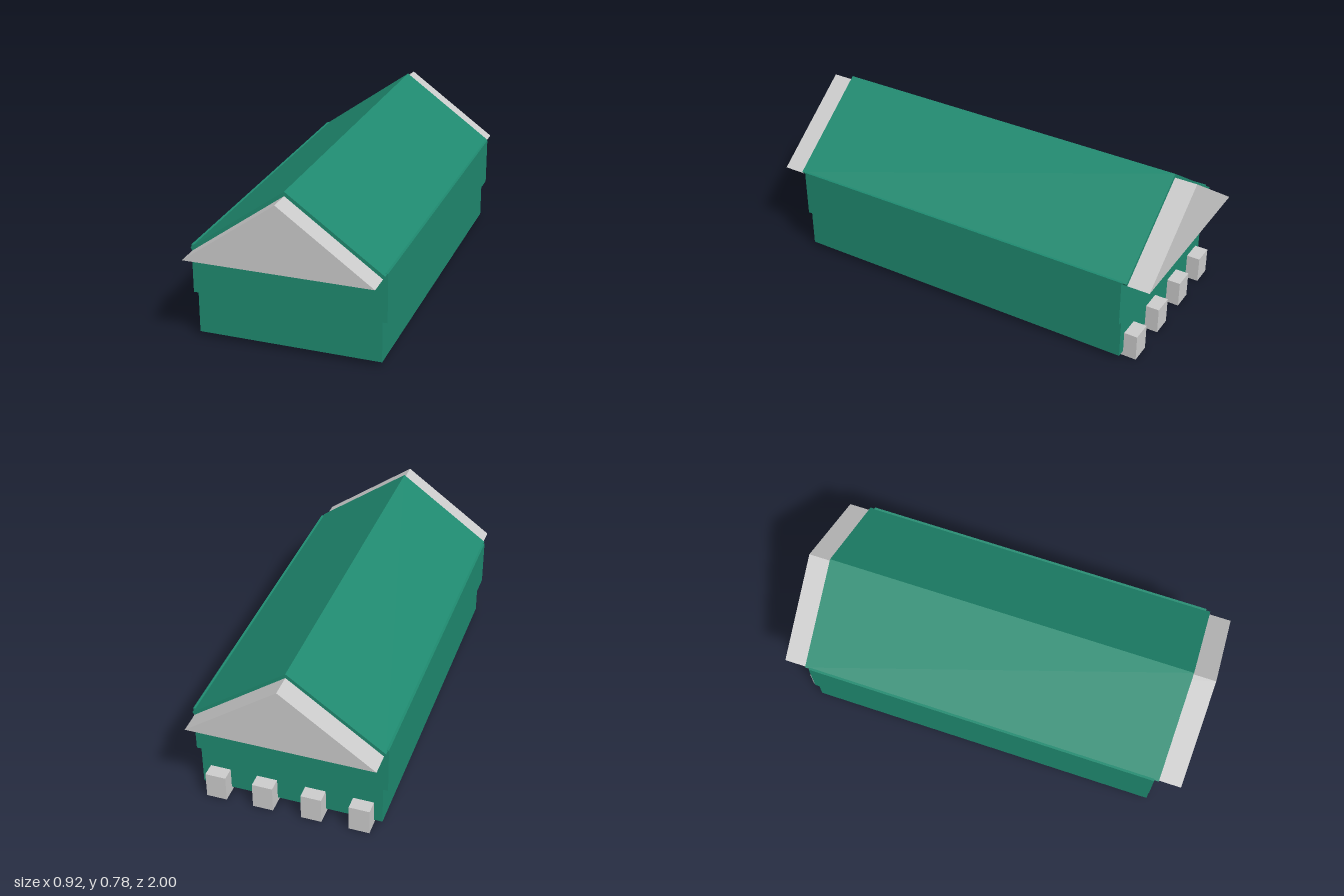
import * as THREE from 'three';

const green = new THREE.MeshStandardMaterial({ color: 0x1f8a70 });
const grey = new THREE.MeshStandardMaterial({ color: 0xcccccc });

export function createModel() {
  const model = new THREE.Group();

  const add = (name, geometry, material) => {
    const mesh = new THREE.Mesh(geometry, material);
    mesh.name = name;
    model.add(mesh);
    return mesh;
  };

  // Box centred on x, given by its height range and depth range
  const box = (name, material, width, y0, y1, z0, z1, x = 0) =>
    add(name, new THREE.BoxGeometry(width, y1 - y0, z1 - z0), material)
      .position.set(x, (y0 + y1) / 2, (z0 + z1) / 2);

  // Outline in x/y extruded along z and centred
  const prism = (name, material, points, length) => {
    const shape = new THREE.Shape(points.map(([x, y]) => new THREE.Vector2(x, y)));
    const geometry = new THREE.ExtrudeGeometry(shape, { depth: length, bevelEnabled: false });
    add(name, geometry.translate(0, 0, -length / 2), material);
  };

  // Walls: narrower lower storey under a wider upper one
  box('lowerWalls', green, 0.87, 0.024, 0.22, -0.87, 0.87);
  box('upperWalls', green, 0.916, 0.22, 0.455, -0.87, 0.87);

  // Gable prism running through the building and projecting at both ends
  prism('gables', grey, [[-0.443, 0.437], [0.443, 0.437], [0, 0.757]], 2);

  // Thin roof sheet folded over the gable prism
  prism('roof', green, [
    [-0.443, 0.437], [0, 0.757], [0.443, 0.437],
    [0.452, 0.451], [0, 0.777], [-0.452, 0.451],
  ], 1.784);

  // Row of blocks along the foot of the back wall
  for (const x of [-0.345, -0.117, 0.117, 0.345]) {
    box('backBlock', grey, 0.098, 0, 0.13, -0.935, -0.804, x);
  }

  return model;
}
